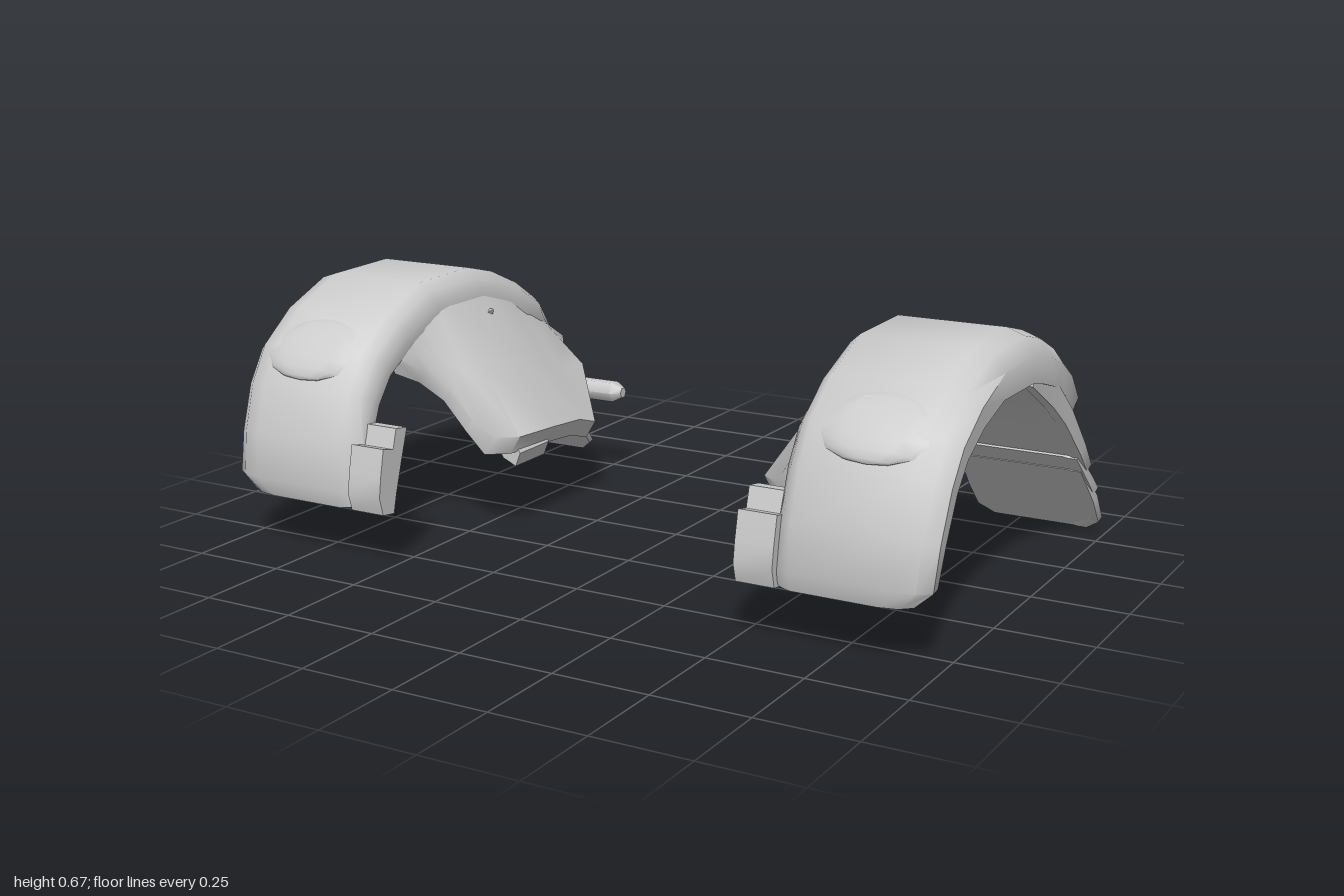
import * as THREE from 'three';
import { toCreasedNormals } from 'three/addons/utils/BufferGeometryUtils.js';

const material = new THREE.MeshStandardMaterial({ color: 0xcccccc, side: THREE.DoubleSide });

function add(group, name, geometry, crease = 0.8) {
  const mesh = new THREE.Mesh(toCreasedNormals(geometry, crease), material);
  mesh.name = name;
  group.add(mesh);
}

// Closed solid through a row of equal-length rings, with capped ends and outward faces
function loft(rings) {
  const n = rings[0].length, tris = [];
  const tri = (a, b, c) => tris.push([a, b, c]);
  for (let i = 0; i < rings.length - 1; i++) {
    for (let j = 0; j < n; j++) {
      const k = (j + 1) % n, p = rings[i], q = rings[i + 1];
      tri(p[j], q[j], q[k]);
      tri(p[j], q[k], p[k]);
    }
  }
  // End caps run as a strip between the outer and inner halves of the ring
  const cap = (r, flip) => {
    for (let j = 0; j < n / 2 - 1; j++) {
      const a = r[j], b = r[j + 1], c = r[n - 2 - j], d = r[n - 1 - j];
      if (flip) { tri(a, c, b); tri(a, d, c); } else { tri(a, b, c); tri(a, c, d); }
    }
  };
  cap(rings[0], false);
  cap(rings[rings.length - 1], true);
  let volume = 0;
  const cross = new THREE.Vector3();
  for (const [a, b, c] of tris) volume += a.dot(cross.crossVectors(b, c));
  const points = tris.flatMap(([a, b, c]) => (volume < 0 ? [a, c, b] : [a, b, c]));
  return new THREE.BufferGeometry().setFromPoints(points);
}

// Thick curved shell swept along stations [z, y, innerX, outerX, depth]
function shell(stations, side) {
  return loft(stations.map(([z, y, xi, xo, depth], i) => {
    const a = stations[Math.max(i - 1, 0)], b = stations[Math.min(i + 1, stations.length - 1)];
    const dz = b[0] - a[0], dy = b[1] - a[1], len = Math.hypot(dz, dy);
    const nz = dy / len, ny = -dz / len;
    const w = xo - xi, t = depth * 0.92;
    const r = Math.min(0.08, w * 0.25);
    const outer = [
      [xi + 0.005, depth * 0.9], [xi, depth * 0.5], [xi + r * 0.25, depth * 0.2], [xi + r * 0.6, 0],
      [xo - r, 0], [xo - r * 0.4, depth * 0.13], [xo, depth * 0.45], [xo - 0.005, depth],
    ];
    const m = Math.min(0.03, w * 0.2);
    const inner = [[xo - m, depth], [xo - m * 1.4, t], [xo - r, t], [xo - r * 1.2, t],
      [xi + r, t], [xi + r * 0.6, t], [xi + m, t], [xi + m * 0.5, t]];
    return [...outer, ...inner].map(([x, d]) => new THREE.Vector3(side * x, y - ny * d, z - nz * d));
  }));
}

function createFender(side) {
  const group = new THREE.Group();
  group.name = side > 0 ? 'leftFender' : 'rightFender';

  // Main arched guard, tapering to a rounded tail
  add(group, 'archedGuard', shell([
    [0.615, 0.148, 0.595, 0.94, 0.048],
    [0.628, 0.195, 0.595, 0.985, 0.07],
    [0.612, 0.31, 0.594, 0.99, 0.085],
    [0.57, 0.435, 0.593, 0.995, 0.092],
    [0.51, 0.53, 0.592, 0.998, 0.1],
    [0.4, 0.612, 0.592, 1, 0.11],
    [0.25, 0.675, 0.592, 1, 0.125],
    [0.03, 0.68, 0.592, 1, 0.13],
    [-0.08, 0.652, 0.592, 1, 0.125],
    [-0.2, 0.6, 0.592, 0.995, 0.11],
    [-0.3, 0.54, 0.597, 0.988, 0.1],
    [-0.4, 0.455, 0.63, 0.975, 0.095],
    [-0.46, 0.38, 0.66, 0.94, 0.08],
    [-0.495, 0.32, 0.7, 0.89, 0.05],
    [-0.515, 0.28, 0.745, 0.835, 0.025],
  ], side));

  // Rear mudflap: three overlapping plates stepping down
  const plates = [
    [[-0.02, 0.61, 0.62, 0.99, 0.08], [-0.2, 0.535, 0.615, 0.99, 0.1], [-0.3, 0.445, 0.61, 0.993, 0.085],
      [-0.41, 0.315, 0.61, 0.995, 0.06], [-0.475, 0.24, 0.615, 0.99, 0.045], [-0.503, 0.205, 0.655, 0.955, 0.028]],
    [[-0.4, 0.28, 0.625, 0.98, 0.03], [-0.49, 0.198, 0.615, 0.992, 0.04],
      [-0.54, 0.162, 0.615, 0.99, 0.045], [-0.562, 0.135, 0.66, 0.95, 0.03]],
    [[-0.44, 0.235, 0.63, 0.98, 0.03], [-0.54, 0.135, 0.625, 0.99, 0.04],
      [-0.605, 0.055, 0.63, 0.985, 0.035], [-0.627, 0.022, 0.67, 0.945, 0.03]],
  ];
  plates.forEach((p, i) => add(group, `mudflapPlate${i + 1}`, shell(p, side)));

  // Inner side panel: [top z, top y, lower x, lower y, lower z, edge thickness]
  const panel = [
    [0.42, 0.53, 0.6, 0.49, 0.4, 0.03], [0.36, 0.56, 0.57, 0.455, 0.335, 0.03], [0.3, 0.59, 0.53, 0.4, 0.285, 0.03],
    [0.26, 0.61, 0.47, 0.325, 0.268, 0.035], [0.23, 0.62, 0.42, 0.275, 0.243, 0.05],
    [0.18, 0.63, 0.365, 0.275, 0.2, 0.05], [0.03, 0.63, 0.365, 0.265, 0.03, 0.05],
    [-0.1, 0.59, 0.365, 0.255, -0.1, 0.05], [-0.19, 0.53, 0.365, 0.23, -0.18, 0.05],
    [-0.3, 0.47, 0.48, 0.36, -0.3, 0.025], [-0.4, 0.41, 0.61, 0.39, -0.4, 0.025],
  ];
  add(group, 'innerPanel', loft(panel.map(([z, y, x, yl, zl, t]) => {
    const at = (f, dx, dy) => new THREE.Vector3(
      side * (THREE.MathUtils.lerp(0.61, x, f) + dx),
      THREE.MathUtils.lerp(y, yl, f) + dy,
      THREE.MathUtils.lerp(z, zl, f));
    return [at(0, 0, 0), at(0.5, 0, 0), at(1, 0, 0),
      at(1, t * 0.6, -t), at(0.5, t * 0.6, -t * 0.8), at(0, t * 0.6, -t * 0.6)];
  })), 1);

  // Support strap beneath the inner panel
  const strapShape = new THREE.Shape([[0.62, 0.58], [0.385, 0.22], [0.4, 0.182], [0.44, 0.2], [0.66, 0.56]]
    .map(([x, y]) => new THREE.Vector2(side * x, y)));
  const strap = new THREE.ExtrudeGeometry(strapShape, { depth: 0.14, bevelEnabled: false });
  add(group, 'supportStrap', strap.translate(0, 0, 0.03));

  // Front tab reaching inward, extruded across x
  const tabShape = new THREE.Shape([
    [0.57, 0.142], [0.615, 0.148], [0.628, 0.195], [0.62, 0.25], [0.605, 0.32],
    [0.565, 0.31], [0.55, 0.362], [0.505, 0.355], [0.533, 0.27], [0.558, 0.19],
  ].map(([z, y]) => new THREE.Vector2(-z, y)));
  const tab = new THREE.ExtrudeGeometry(tabShape, { depth: 0.1, bevelEnabled: false });
  add(group, 'frontTab', tab.rotateY(Math.PI / 2).translate(side > 0 ? 0.505 : -0.605, 0, 0));

  // Shallow brow whose lower lip stands proud of the front slope
  const brow = new THREE.SphereGeometry(1, 12, 8).scale(0.155, 0.1, 0.026);
  add(group, 'frontBrow', brow.rotateX(-0.85).translate(side * 0.8, 0.523, 0.49), 1);

  // Five-sided bolt on the tail
  const bolt = new THREE.CylinderGeometry(0.036, 0.048, 0.06, 5);
  add(group, 'tailBolt', bolt.rotateX(-0.75).translate(side * 0.72, 0.445, -0.385), 0.4);

  // Inward peg with a tapered tip
  const peg = new THREE.LatheGeometry([[0, 0], [0.032, 0], [0.032, 0.2], [0.016, 0.228], [0, 0.228]]
    .map(([r, h]) => new THREE.Vector2(r, h)), 6);
  add(group, 'innerPeg', peg.rotateZ(side * Math.PI / 2).translate(side * 0.645, 0.255, -0.42), 1.1);

  // Small stud on the inner panel
  const stud = new THREE.ConeGeometry(0.028, 0.04, 3);
  add(group, 'panelStud', stud.rotateZ(side * 0.95).translate(side * 0.57, 0.562, 0.035), 0.3);

  return group;
}

export function createModel() {
  const model = new THREE.Group();
  model.name = 'fenderPair';
  for (const side of [1, -1]) model.add(createFender(side));
  return model;
}
